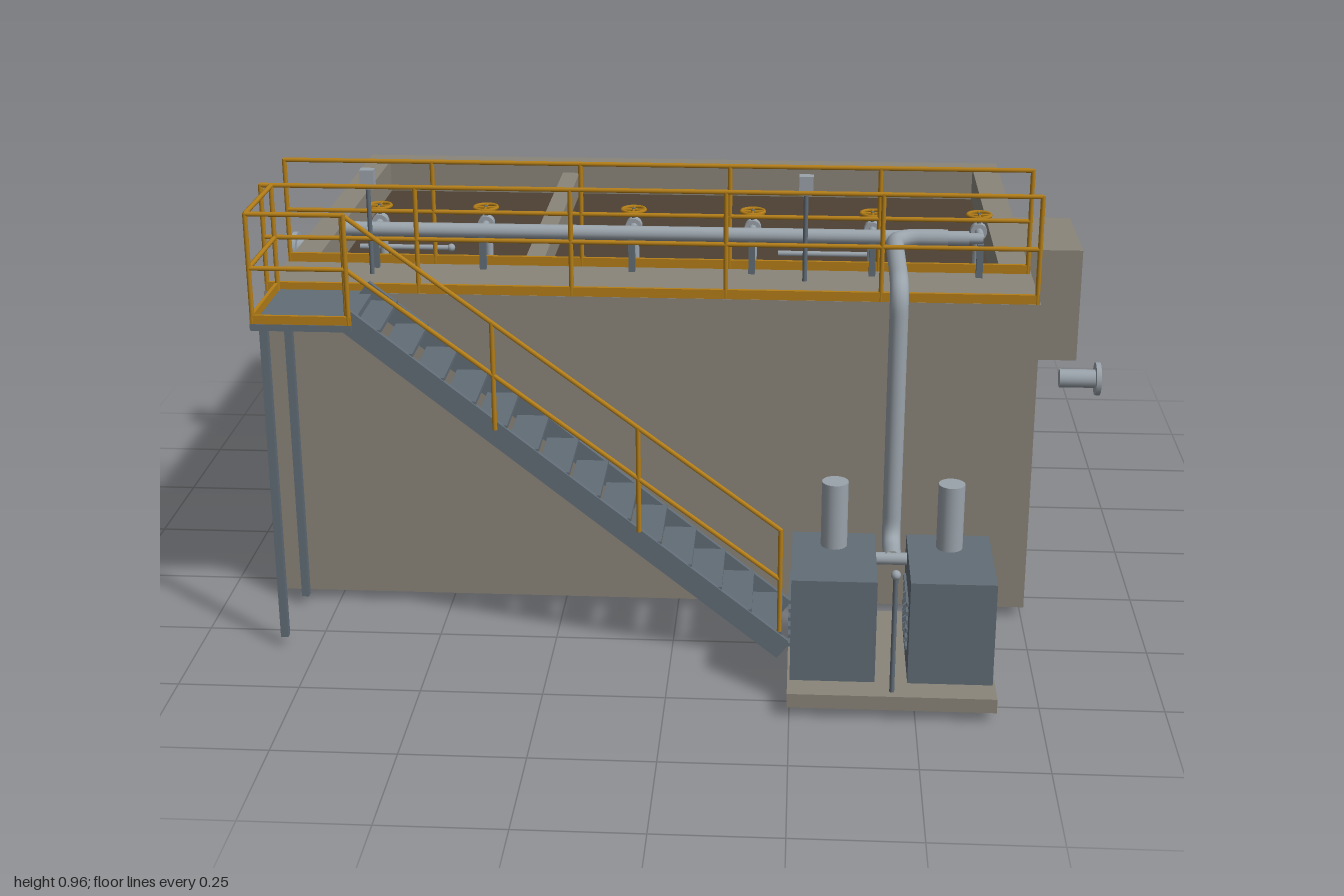
import * as THREE from 'three';

const mat = (name, color) => {
  const m = new THREE.MeshStandardMaterial({ color });
  m.name = name;
  return m;
};
const V = (x, y, z) => new THREE.Vector3(x, y, z);

export function createModel() {
  const concrete = mat('concrete', 0x8a857a);
  const water = mat('murky water', 0x4d4133);
  const steel = mat('blue grey steel', 0x626d77);
  const pipe = mat('pipe metal', 0x9aa3ab);
  const yellow = mat('safety yellow', 0xb57f18);

  const model = new THREE.Group();
  model.name = 'treatmentTank';
  const group = (name) => {
    const g = new THREE.Group();
    g.name = name;
    model.add(g);
    return g;
  };
  const add = (parent, name, geo, material) => {
    const m = new THREE.Mesh(geo, material);
    m.name = name;
    parent.add(m);
    return m;
  };
  // Box given by its extents on each axis
  const box = (parent, name, material, x0, x1, y0, y1, z0, z1) => {
    const m = add(parent, name, new THREE.BoxGeometry(x1 - x0, y1 - y0, z1 - z0), material);
    m.position.set((x0 + x1) / 2, (y0 + y1) / 2, (z0 + z1) / 2);
    return m;
  };
  // Round bar between two points
  const bar = (parent, name, material, a, b, r, sides = 8) => {
    const d = b.clone().sub(a);
    const m = add(parent, name, new THREE.CylinderGeometry(r, r, d.length(), sides), material);
    m.position.copy(a).add(b).multiplyScalar(0.5);
    m.quaternion.setFromUnitVectors(V(0, 1, 0), d.normalize());
    return m;
  };
  // Pipe through corner points, with a rounded elbow at every inner corner
  const bentPipe = (parent, name, pts, bend, r) => {
    const path = new THREE.CurvePath();
    let last = pts[0];
    for (let i = 1; i < pts.length - 1; i++) {
      const p = pts[i];
      const a = p.clone().add(pts[i - 1].clone().sub(p).setLength(bend));
      const b = p.clone().add(pts[i + 1].clone().sub(p).setLength(bend));
      path.add(new THREE.LineCurve3(last, a));
      path.add(new THREE.QuadraticBezierCurve3(a, p, b));
      last = b;
    }
    path.add(new THREE.LineCurve3(last, pts[pts.length - 1]));
    const m = add(parent, name, new THREE.TubeGeometry(path, 90, r, 14), pipe);
    return m;
  };
  // Railing along a line: posts, top rail and middle rail
  const railing = (parent, a, b, posts) => {
    for (const h of [0.23, 0.118]) {
      bar(parent, 'rail', yellow, a.clone().setY(a.y + h), b.clone().setY(b.y + h), 0.005);
    }
    for (let i = 0; i < posts; i++) {
      const p = a.clone().lerp(b, i / (posts - 1));
      bar(parent, 'railPost', yellow, p, p.clone().setY(p.y + 0.232), 0.005);
    }
  };

  // Open tank: floor, four walls (the front one is the walkway), divider and water
  const tank = group('tank');
  box(tank, 'tankFloor', concrete, -0.875, 0.755, 0.03, 0.1, -0.815, 0.345);
  box(tank, 'backWall', concrete, -0.875, 0.755, 0.1, 0.725, -0.815, -0.755);
  box(tank, 'walkway', concrete, -0.875, 0.755, 0.1, 0.725, 0.12, 0.345);
  box(tank, 'rightWall', concrete, -0.875, -0.815, 0.1, 0.725, -0.755, 0.12);
  box(tank, 'leftWall', concrete, 0.69, 0.755, 0.1, 0.725, -0.755, 0.12);
  box(tank, 'divider', concrete, -0.365, -0.322, 0.1, 0.7, -0.755, 0.12);
  box(tank, 'water', water, -0.815, 0.69, 0.1, 0.645, -0.755, 0.12);
  box(tank, 'sideChamber', concrete, 0.755, 0.92, 0.38, 0.655, -0.56, -0.28);

  // Flanged inlet and outlet
  const ports = group('ports');
  bar(ports, 'inletPipe', pipe, V(-0.995, 0.585, -0.425), V(-0.87, 0.585, -0.425), 0.025, 20);
  bar(ports, 'inletFlange', pipe, V(-1, 0.585, -0.425), V(-0.988, 0.585, -0.425), 0.041, 20);
  bar(ports, 'outletPipe', pipe, V(0.9, 0.283, -0.42), V(0.995, 0.283, -0.42), 0.023, 20);
  bar(ports, 'outletFlange', pipe, V(0.988, 0.283, -0.42), V(1, 0.283, -0.42), 0.041, 20);

  // Walkway railings with toe boards
  const rails = group('walkwayRailings');
  for (const z of [0.13, 0.34]) {
    railing(rails, V(-0.868, 0.725, z), V(0.747, 0.725, z), 6);
    box(rails, 'toeBoard', yellow, -0.872, 0.752, 0.725, 0.745, z - 0.004, z + 0.004);
  }

  // Stair landing on two legs
  const landing = group('landing');
  box(landing, 'deck', steel, -0.845, -0.64, 0.718, 0.732, 0.352, 0.58);
  for (const z of [0.373, 0.567]) box(landing, 'leg', steel, -0.828, -0.812, 0.03, 0.72, z - 0.008, z + 0.008);
  railing(landing, V(-0.84, 0.73, 0.575), V(-0.645, 0.73, 0.575), 2);
  railing(landing, V(-0.84, 0.73, 0.362), V(-0.84, 0.73, 0.575), 2);
  box(landing, 'landingToeBoard', yellow, -0.845, -0.64, 0.73, 0.75, 0.572, 0.579);
  box(landing, 'landingToeBoard', yellow, -0.845, -0.838, 0.73, 0.75, 0.36, 0.579);

  // Stairs: sloping side plates, thin treads and an outer handrail
  const stairs = group('stairs');
  const top = V(-0.65, 0.735, 0), foot = V(0.228, 0.032, 0);
  const run = foot.clone().sub(top);
  for (const z of [0.37, 0.562]) {
    const s = add(stairs, 'stringer', new THREE.BoxGeometry(run.length() + 0.02, 0.046, 0.01), steel);
    s.position.copy(top).add(foot).multiplyScalar(0.5).setZ(z);
    s.rotation.z = Math.atan2(run.y, run.x);
  }
  for (let i = 0; i < 14; i++) {
    const p = top.clone().lerp(foot, (i + 0.5) / 14);
    box(stairs, 'tread', steel, p.x - 0.034, p.x + 0.034, p.y, p.y + 0.009, 0.37, 0.562);
  }
  railing(stairs, V(-0.65, 0.73, 0.568), V(0.226, 0.072, 0.568), 4);

  // Air header along the walkway, with valved branches dipping into the water
  const header = group('airHeader');
  bar(header, 'headerPipe', pipe, V(-0.74, 0.81, 0.157), V(0.615, 0.81, 0.157), 0.016, 16);
  for (const x of [-0.67, -0.435, -0.11, 0.15, 0.41, 0.64]) {
    bentPipe(header, 'branchPipe', [V(x, 0.81, 0.165), V(x, 0.81, 0.07), V(x, 0.6, 0.07)], 0.04, 0.009);
    bar(header, 'valveBody', pipe, V(x, 0.81, 0.088), V(x, 0.81, 0.108), 0.018, 14);
    bar(header, 'valveStem', steel, V(x, 0.81, 0.098), V(x, 0.85, 0.098), 0.004);
    const wheel = add(header, 'handwheel', new THREE.TorusGeometry(0.025, 0.004, 6, 20), yellow);
    wheel.position.set(x, 0.846, 0.098);
    wheel.rotation.x = Math.PI / 2;
    for (const s of [0, 1]) {
      bar(header, 'wheelSpoke', yellow, V(x - 0.025 * s, 0.846, 0.098 - 0.025 * (1 - s)),
        V(x + 0.025 * s, 0.846, 0.098 + 0.025 * (1 - s)), 0.003, 6);
    }
    box(header, 'pipeSupport', steel, x - 0.007, x + 0.007, 0.725, 0.8, 0.155, 0.169);
  }
  bar(header, 'headerEnd', pipe, V(0.6, 0.81, 0.157), V(0.645, 0.81, 0.157), 0.012, 14);

  // Small probe arms over the water and instrument boxes on posts
  const probes = group('instruments');
  for (const [x0, x1] of [[-0.73, -0.525], [0.205, 0.41]]) {
    bar(probes, 'probeArm', pipe, V(x0, 0.735, 0.042), V(x1, 0.735, 0.042), 0.006);
    add(probes, 'probeEnd', new THREE.SphereGeometry(0.009, 12, 8), pipe).position.set(x1, 0.735, 0.042);
  }
  for (const x of [-0.67, 0.265]) {
    bar(probes, 'instrumentPost', steel, V(x, 0.725, 0.21), V(x, 0.92, 0.21), 0.005);
    box(probes, 'instrumentBox', pipe, x - 0.015, x + 0.015, 0.917, 0.958, 0.199, 0.223);
  }

  // Two blowers on a pad, feeding the riser pipe
  const blowers = group('blowers');
  box(blowers, 'pad', concrete, 0.245, 0.66, 0.03, 0.06, 0.44, 0.815);
  for (const x of [0.25, 0.485]) {
    box(blowers, 'blowerHousing', steel, x, x + 0.17, 0.06, 0.28, 0.525, 0.757);
    bar(blowers, 'intakeStack', pipe, V(x + 0.085, 0.28, 0.582), V(x + 0.085, 0.42, 0.582), 0.027, 20);
    for (let i = 0; i < 6; i++) {
      const y = 0.11 + i * 0.019;
      box(blowers, 'louvre', steel, x - 0.005, x, y, y + 0.008, 0.57, 0.71);
    }
  }
  bar(blowers, 'blowerLink', pipe, V(0.41, 0.25, 0.58), V(0.495, 0.25, 0.58), 0.013, 14);
  bentPipe(blowers, 'riserPipe', [V(0.57, 0.81, 0.157), V(0.455, 0.81, 0.157),
    V(0.455, 0.81, 0.497), V(0.455, 0.25, 0.497), V(0.455, 0.25, 0.585)], 0.055, 0.019);
  bar(blowers, 'gaugePost', steel, V(0.453, 0.06, 0.793), V(0.453, 0.31, 0.793), 0.005);
  add(blowers, 'gauge', new THREE.SphereGeometry(0.01, 12, 8), pipe).position.set(0.453, 0.315, 0.793);

  return model;
}
